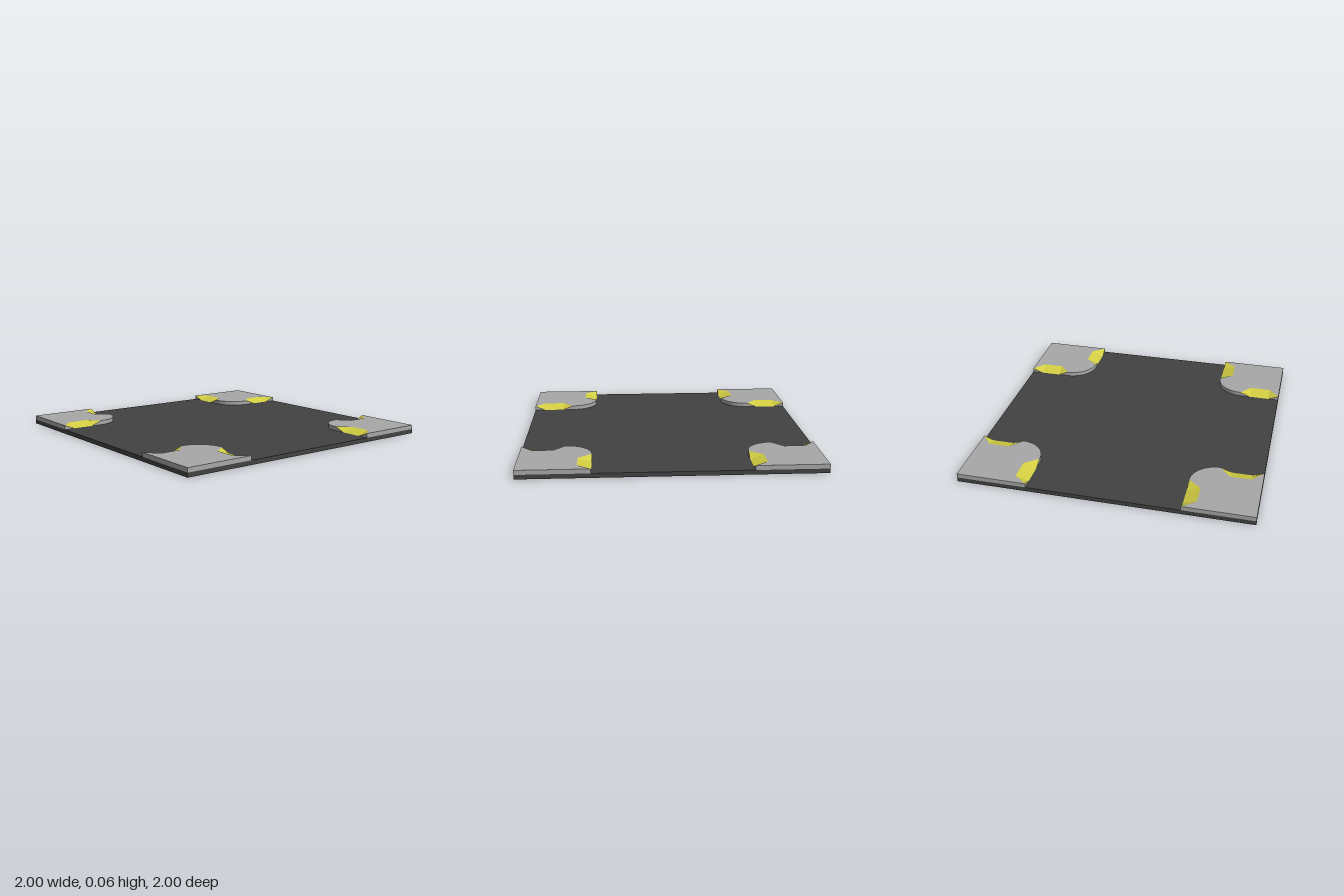
import * as THREE from 'three';

const ROAD_Y = 0.03, TOP_Y = 0.06; // road and pavement heights
const EDGE = 0.52, ARC = 0.705;    // kerb line and start of the rounded corner
const MID = (ARC + 1) / 2;         // ramp centre along the kerb
const H = (1 - ARC) / 2;           // half width of the ramp opening
const W = 0.073, D = 0.09;         // half width of the flat slope, ramp depth

const asphalt = new THREE.MeshStandardMaterial({ color: 0x424242 });
asphalt.name = 'asphalt';
const concrete = new THREE.MeshStandardMaterial({ color: 0xa8a8a8 });
concrete.name = 'concrete';
const yellow = new THREE.MeshStandardMaterial({ color: 0xd2ce42 });
yellow.name = 'ramp yellow';

// Flat-shaded faces from a list of triangles
function faces(name, triangles, material) {
  const geo = new THREE.BufferGeometry();
  geo.setAttribute('position', new THREE.Float32BufferAttribute(triangles.flat(2), 3));
  geo.computeVertexNormals();
  const mesh = new THREE.Mesh(geo, material);
  mesh.name = name;
  return mesh;
}

// Dropped kerb: kerb line along x, rising towards +z, with a flare at each end
function makeRamp() {
  const ramp = new THREE.Group();
  ramp.name = 'kerbRamp';
  const ends = (s) => ({
    foot: [s * H, ROAD_Y, 0],
    tip: [s * H, TOP_Y, 0],
    low: [s * W, ROAD_Y, 0],
    high: [s * W, TOP_Y, D],
  });
  const l = ends(-1), r = ends(1);
  ramp.add(
    faces('rampSurface', [
      [l.low, l.high, r.high], [l.low, r.high, r.low], // slope
      [l.tip, l.high, l.low], [r.tip, r.low, r.high],  // flares
    ], yellow),
    faces('kerbFace', [[l.foot, l.tip, l.low], [r.foot, r.low, r.tip]], concrete),
  );
  return ramp;
}

// Pavement block with a rounded inner corner and a notch for each ramp
function makeCorner() {
  const corner = new THREE.Group();
  corner.name = 'pavementCorner';
  const s = new THREE.Shape();
  s.moveTo(1, 1);
  s.lineTo(EDGE, 1);
  s.lineTo(EDGE + D, MID + W);
  s.lineTo(EDGE + D, MID - W);
  s.lineTo(EDGE, ARC);
  s.absarc(ARC, ARC, ARC - EDGE, Math.PI, Math.PI * 1.5, false);
  s.lineTo(MID - W, EDGE + D);
  s.lineTo(MID + W, EDGE + D);
  s.lineTo(1, EDGE);
  s.closePath();
  const geo = new THREE.ExtrudeGeometry(s, {
    depth: TOP_Y - ROAD_Y, bevelEnabled: false, curveSegments: 14,
  });
  geo.rotateX(Math.PI / 2).translate(0, TOP_Y, 0);
  const pavement = new THREE.Mesh(geo, concrete);
  pavement.name = 'pavement';

  const rampA = makeRamp();
  rampA.position.set(MID, 0, EDGE);
  const rampB = makeRamp();
  rampB.position.set(EDGE, 0, MID);
  rampB.rotation.y = Math.PI / 2;
  corner.add(pavement, rampA, rampB);
  return corner;
}

export function createModel() {
  const model = new THREE.Group();
  model.name = 'roadCrossing';

  const road = new THREE.Mesh(new THREE.BoxGeometry(2, ROAD_Y, 2), asphalt);
  road.name = 'road';
  road.position.y = ROAD_Y / 2;
  model.add(road);

  // Four identical corners
  for (let i = 0; i < 4; i++) {
    const corner = makeCorner();
    corner.rotation.y = i * Math.PI / 2;
    model.add(corner);
  }
  return model;
}
